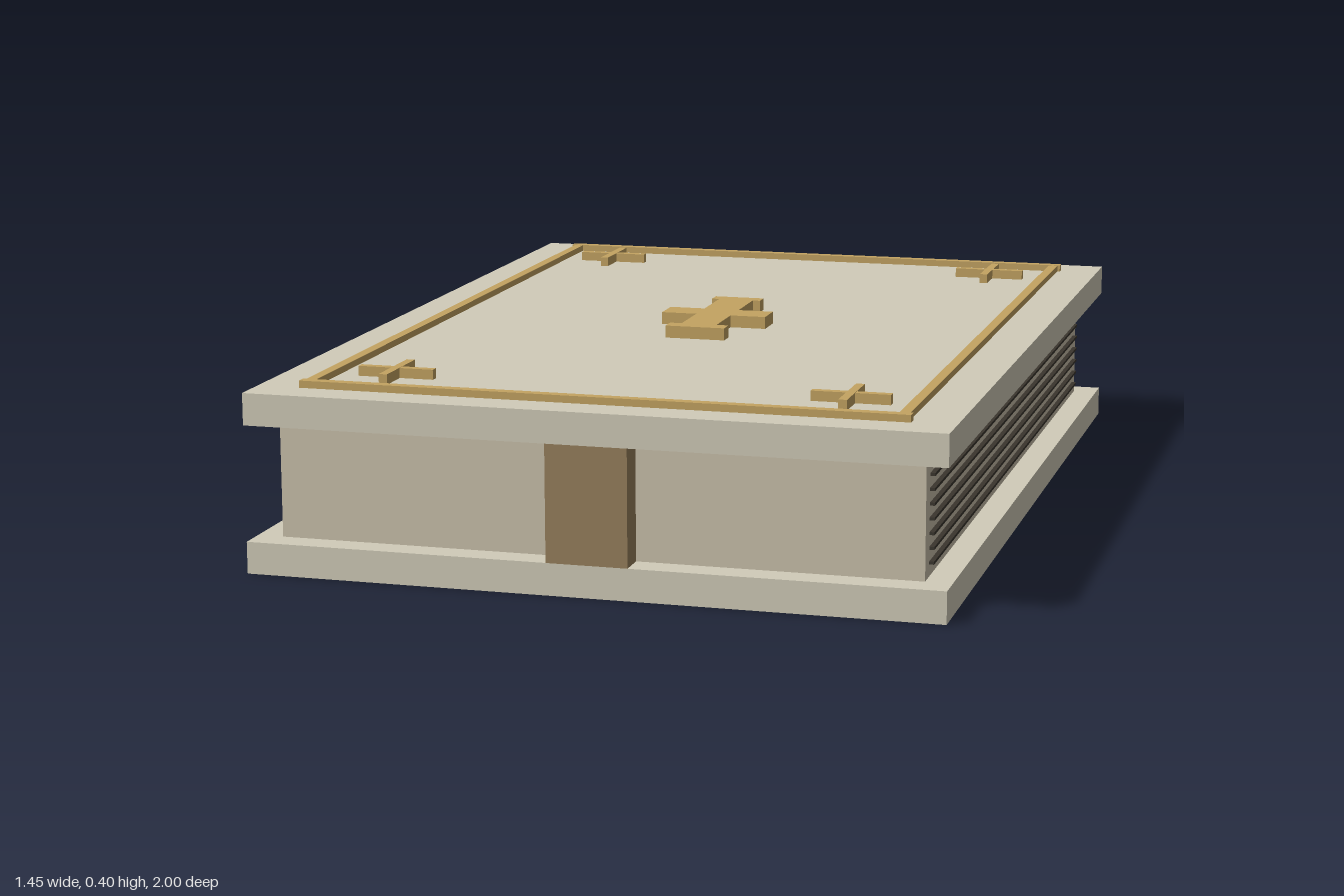
import * as THREE from 'three';

const mat = (color) => new THREE.MeshStandardMaterial({ color });

export function createModel() {
  const book = new THREE.Group();
  book.name = 'book';
  const cover = mat(0xd1ccb9), paper = mat(0xcbc1ac), leather = mat(0x97805c);
  const gold = mat(0xc4a462), ink = mat(0x3a352e);

  // Box given by its extents on each axis
  const box = (name, m, [x0, x1], [y0, y1], [z0, z1], parent = book) => {
    const mesh = new THREE.Mesh(new THREE.BoxGeometry(x1 - x0, y1 - y0, z1 - z0), m);
    mesh.position.set((x0 + x1) / 2, (y0 + y1) / 2, (z0 + z1) / 2);
    mesh.name = name;
    parent.add(mesh);
    return mesh;
  };
  const group = (name) => {
    const g = new THREE.Group();
    g.name = name;
    book.add(g);
    return g;
  };

  const low = 0.067, high = 0.31, top = 0.377;

  // Covers and page block
  box('bottomCover', cover, [-0.726, 0.726], [0, low], [-1, 1]);
  box('topCover', cover, [-0.726, 0.726], [high, top], [-1, 1]);
  box('pageBlock', paper, [-0.671, 0.671], [low, high], [-0.941, 0.941]);

  // Straps on the front and back ends
  box('frontStrap', leather, [-0.085, 0.085], [low, high], [0.941, 1]);
  box('backStrap', leather, [-0.085, 0.085], [low, high], [-1, -0.941]);

  // Page lines along the left (+x) edge
  const lines = group('pageLines');
  for (let i = 0; i < 7; i++) {
    const y = 0.095 + i * 0.0296;
    box('pageLine', ink, [0.665, 0.681], [y - 0.003, y + 0.003], [-0.904, 0.904], lines);
  }

  // Gold border on the top cover
  const border = group('border');
  for (const s of [-1, 1]) {
    const z = s * 0.91, x = s * 0.618;
    box('borderEnd', gold, [-0.635, 0.635], [top, 0.392], [z - 0.011, z + 0.011], border);
    box('borderSide', gold, [x - 0.011, x + 0.011], [top, 0.391], [-0.899, 0.899], border);
  }

  // Small cross in each corner
  const crosses = group('cornerCrosses');
  for (const x of [-0.482, 0.482]) {
    for (const z of [-0.765, 0.765]) {
      box('crossBar', gold, [x - 0.082, x + 0.082], [top, 0.398], [z - 0.009, z + 0.009], crosses);
      box('crossPost', gold, [x - 0.009, x + 0.009], [top, 0.3985], [z - 0.081, z + 0.081], crosses);
    }
  }

  // Central emblem: one raised outline, mirrored left to right
  const half = [
    [0.057, -0.188], [0.057, -0.155], [0.04, -0.155], [0.04, -0.027], [0.12, -0.027],
    [0.12, 0.043], [0.04, 0.043], [0.04, 0.163], [0.067, 0.163], [0.067, 0.2],
  ];
  const outline = [...half, ...half.map(([x, z]) => [-x, z]).reverse()];
  const shape = new THREE.Shape(outline.map(([x, z]) => new THREE.Vector2(x, -z)));
  const emblem = new THREE.Mesh(
    new THREE.ExtrudeGeometry(shape, { depth: 0.404 - top, bevelEnabled: false }), gold);
  emblem.rotation.x = -Math.PI / 2;
  emblem.position.y = top;
  emblem.name = 'centreEmblem';
  book.add(emblem);

  return book;
}
